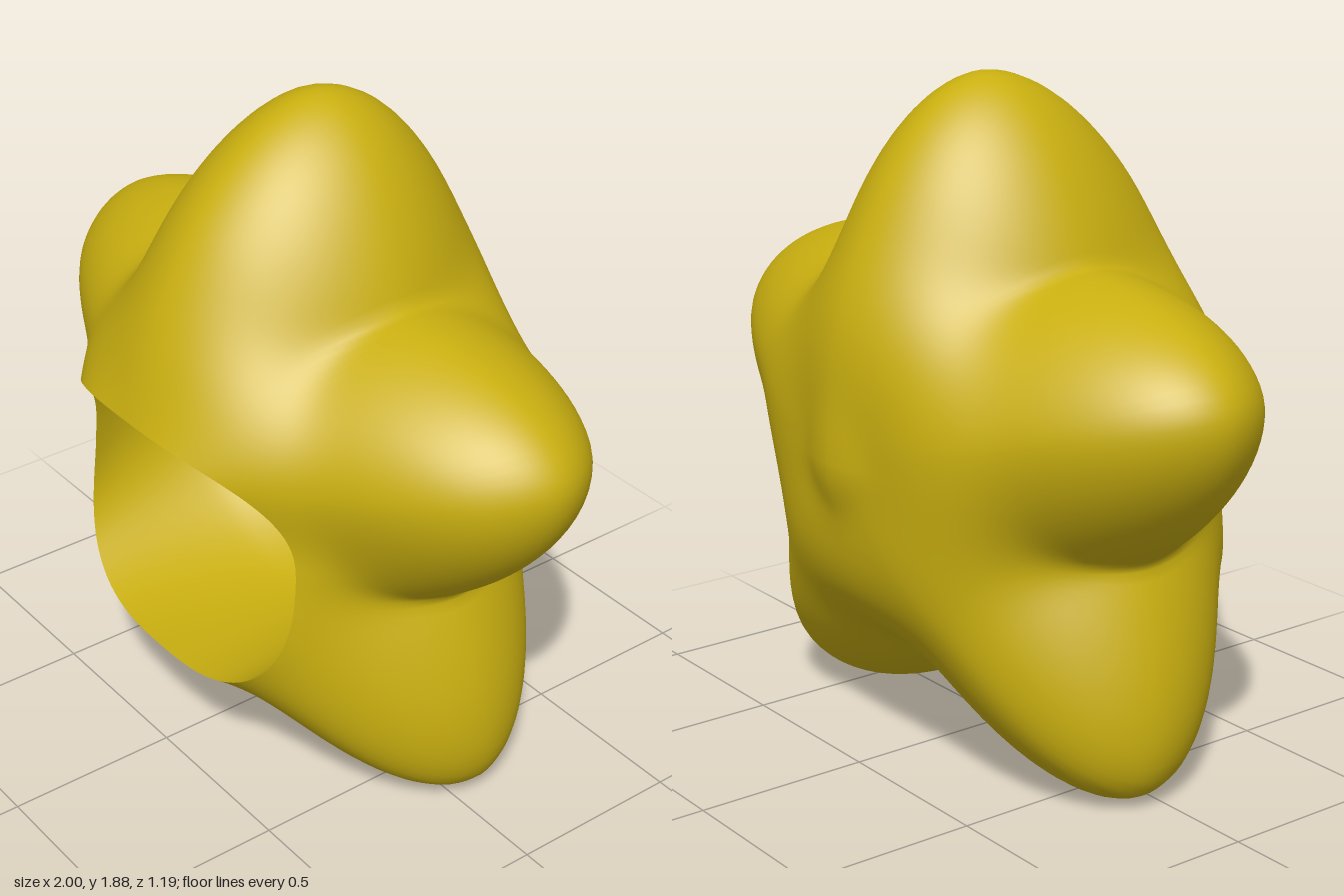
import * as THREE from 'three';

const CY = 0.87;          // height of the star's centre
const SEG = 200;          // steps around the star
const HOLE = { y: 0.71, rx: 0.48, ry: 0.39, p: 2.7 };
const CAVITY = { y: 0.75, z: 0.2, rx: 0.54, ry: 0.45, rz: 0.58 };

// Arms: direction (degrees), length, half widths on the ccw and cw side, front and back depth
const half = [
  [15.2, 1.03, 0.485, 0.485, 0.5, 0.53],
  [-50, 1.1, 0.44, 0.5, 0.63, 0.53],
];
const arms = [
  [90, 1.0, 0.485, 0.485, 0.62, 0.59],
  ...half,
  ...half.map(([a, l, ccw, cw, f, b]) => [180 - a, l, cw, ccw, f, b]),
].map(([a, length, ccw, cw, front, back]) => ({
  c: Math.cos(a * Math.PI / 180), s: Math.sin(a * Math.PI / 180), length, ccw, cw, front, back,
}));

// Distance from the centre to the puffy star along a unit direction
function bodyRadius(d) {
  const P = 1.8;
  const r = arms.map((m) => {
    const along = d.x * m.c + d.y * m.s;
    const across = d.y * m.c - d.x * m.s;
    const sum = Math.pow(Math.abs(along) / (along > 0 ? m.length : 0.5), P)
      + Math.pow(Math.abs(across) / (across > 0 ? m.ccw : m.cw), P)
      + Math.pow(Math.abs(d.z) / (d.z > 0 ? m.front : m.back), P);
    return Math.pow(sum, -1 / P);
  });
  // Smooth maximum: valleys are sharp at the outline, filled on the front and back
  const k = 0.004 + 0.25 * d.z * d.z * (1 - d.z * d.z);
  const top = Math.max(...r);
  return top + k * Math.log(r.reduce((sum, v) => sum + Math.exp((v - top) / k), 0));
}

// Saddle-shaped rim of the opening, found along an angle from the centre
function rimPoint(angle) {
  const c = Math.cos(angle), s = Math.sin(angle);
  let lo = 0, hi = 1;
  for (let i = 0; i < 30; i++) {
    const k = (lo + hi) / 2;
    const f = Math.pow(Math.abs(k * c) / HOLE.rx, HOLE.p)
      + Math.pow(Math.abs(CY + k * s - HOLE.y) / HOLE.ry, HOLE.p);
    if (f < 1) lo = k; else hi = k;
  }
  const y = CY + lo * s, dy = y - 0.8;
  const z = 0.39 + (dy > 0 ? 2.3 : 0.5) * dy * dy;
  return new THREE.Vector3(lo * c, y, z);
}

// Weight that falls from 1 at the rim to 0 at t = end
const rimWeight = (t, end) => Math.pow(Math.max(1 - t / end, 0), 2);

// Closed rings joined into a smooth surface
function ringSurface(rows, pointAt, flip) {
  const pos = [], index = [];
  for (let i = 0; i <= rows; i++) {
    for (let j = 0; j < SEG; j++) {
      pos.push(...pointAt(i / rows, j).toArray());
      if (i === rows) continue;
      const a = i * SEG + j, b = i * SEG + (j + 1) % SEG;
      const c = a + SEG, d = b + SEG;
      if (flip) index.push(a, b, c, b, d, c);
      else index.push(a, c, b, b, c, d);
    }
  }
  const g = new THREE.BufferGeometry();
  g.setAttribute('position', new THREE.Float32BufferAttribute(pos, 3));
  g.setIndex(index);
  g.computeVertexNormals();
  return g;
}

export function createModel() {
  const group = new THREE.Group();
  group.name = 'hollowStar';
  const yellow = new THREE.MeshStandardMaterial({ color: 0xc9af10 });
  yellow.name = 'mustardYellow';

  const angles = Array.from({ length: SEG }, (_, j) => j / SEG * Math.PI * 2);
  const rim = angles.map(rimPoint);

  // Outer shell: sweeps from the rim over the arms to the middle of the back
  const shell = ringSurface(90, (t, j) => {
    const p = rim[j].clone().setY(rim[j].y - CY);
    const rimR = p.length();
    const start = Math.acos(p.z / rimR);
    const polar = start + (Math.PI - start) * t;
    const d = new THREE.Vector3(
      Math.sin(polar) * Math.cos(angles[j]), Math.sin(polar) * Math.sin(angles[j]), Math.cos(polar));
    const w = rimWeight(t, 0.27);
    const out = d.clone().multiplyScalar(THREE.MathUtils.lerp(bodyRadius(d), rimR, w));
    out.z -= 0.05 * (out.x * out.x + out.y * out.y) * (1 - w);
    out.y += CY;
    return out;
  }, false);

  // Rounded hollow, slightly wider than its opening
  const cavity = ringSurface(40, (t, j) => {
    const s = Math.cos(t * Math.PI / 2), k = Math.sin(t * Math.PI / 2);
    const a = Math.atan2((rim[j].y - HOLE.y) / HOLE.ry, rim[j].x / HOLE.rx);
    return new THREE.Vector3(
      CAVITY.rx * s * Math.cos(a), CAVITY.y + CAVITY.ry * s * Math.sin(a), CAVITY.z - CAVITY.rz * k,
    ).lerp(rim[j], rimWeight(t, 0.2));
  }, true);

  for (const [name, geometry] of [['starShell', shell], ['hollow', cavity]]) {
    const mesh = new THREE.Mesh(geometry, yellow);
    mesh.name = name;
    group.add(mesh);
  }
  return group;
}
